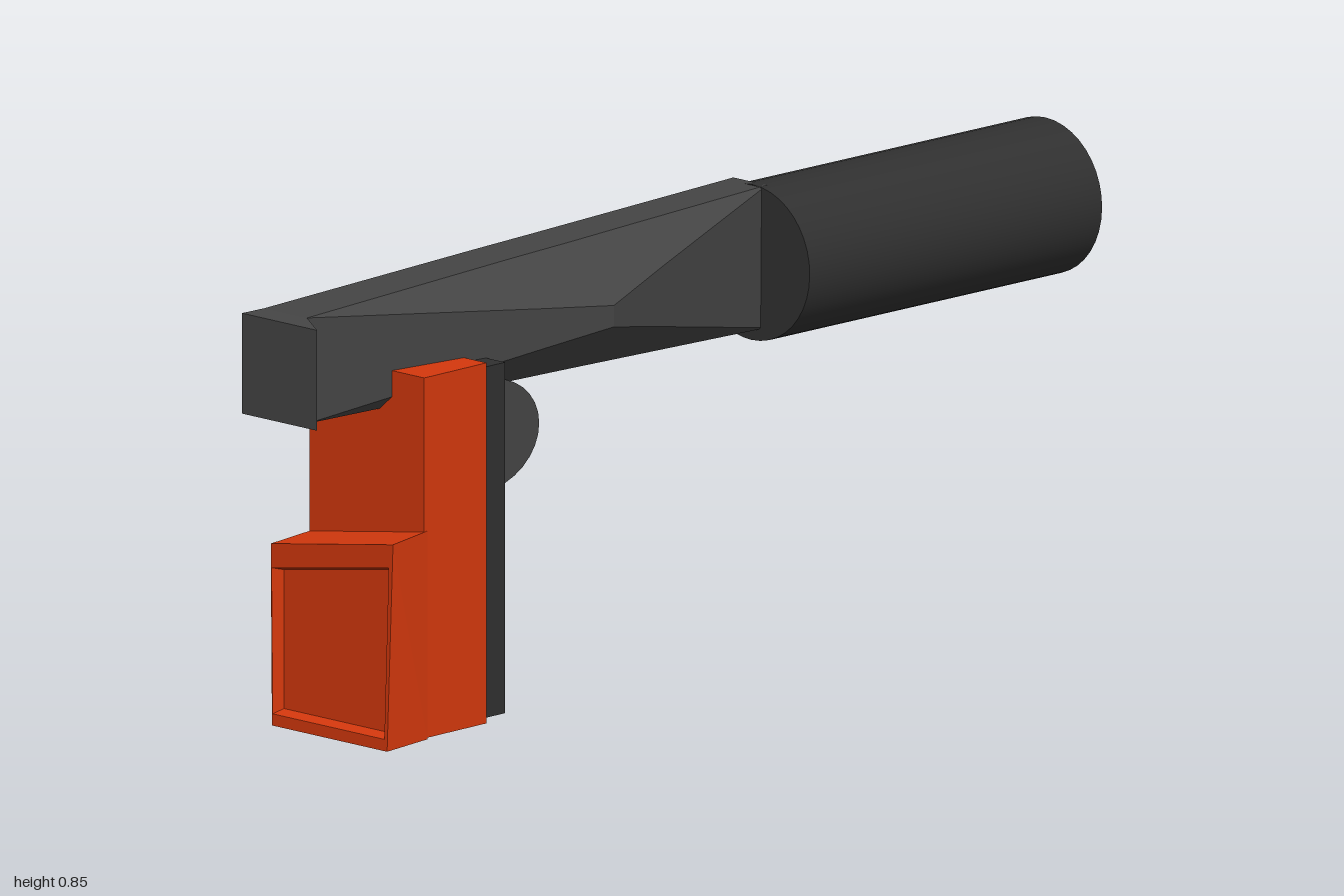
import * as THREE from 'three';

const steel = new THREE.MeshStandardMaterial({ color: 0x444444 });
steel.flatShading = true;
const rubber = new THREE.MeshStandardMaterial({ color: 0x303030 });
const orange = new THREE.MeshStandardMaterial({ color: 0xd4380d });
orange.flatShading = true;

// Skin rings of [x, y, z] points, counterclockwise seen from +z, ordered back to front
function loft(rings) {
  const n = rings[0].length;
  const pos = [];
  const tri = (a, b, c) => pos.push(...a, ...b, ...c);
  for (let i = 0; i < rings.length - 1; i++) {
    for (let j = 0; j < n; j++) {
      const k = (j + 1) % n;
      tri(rings[i][j], rings[i][k], rings[i + 1][k]);
      tri(rings[i][j], rings[i + 1][k], rings[i + 1][j]);
    }
  }
  const first = rings[0], last = rings[rings.length - 1];
  for (let j = 1; j < n - 1; j++) {
    tri(first[0], first[j + 1], first[j]);
    tri(last[0], last[j], last[j + 1]);
  }
  const g = new THREE.BufferGeometry();
  g.setAttribute('position', new THREE.Float32BufferAttribute(pos, 3));
  g.computeVertexNormals();
  return g;
}

export function createModel() {
  const model = new THREE.Group();
  const add = (name, geometry, material) => {
    const mesh = new THREE.Mesh(geometry, material);
    mesh.name = name;
    model.add(mesh);
    return mesh;
  };
  const box = (name, material, [x0, x1], [y0, y1], [z0, z1]) => {
    const mesh = add(name, new THREE.BoxGeometry(x1 - x0, y1 - y0, z1 - z0), material);
    mesh.position.set((x0 + x1) / 2, (y0 + y1) / 2, (z0 + z1) / 2);
  };

  // Round rear handle, tilted very slightly downwards to the back
  const from = new THREE.Vector3(-0.009, 0.692, -1);
  const to = new THREE.Vector3(-0.003, 0.701, -0.23);
  const handle = add('rearHandle',
    new THREE.CylinderGeometry(0.145, 0.145, from.distanceTo(to), 40), rubber);
  handle.position.copy(from).add(to).multiplyScalar(0.5);
  handle.quaternion.setFromUnitVectors(new THREE.Vector3(0, 1, 0), to.clone().sub(from).normalize());

  // Faceted shaft: flat top and bottom, sides bulging to an edge, flared square tip
  // [z, top/bottom x right, left, top y, bottom y, left side x, upper y, lower y, right side x, upper y, lower y]
  const sections = [
    [-0.25, 0.015, -0.07, 0.845, 0.578, -0.07, 0.845, 0.578, 0.015, 0.845, 0.578],
    [0.10, 0.018, -0.073, 0.835, 0.588, -0.148, 0.77, 0.65, 0.092, 0.768, 0.654],
    [0.27, 0.020, -0.075, 0.83, 0.593, -0.148, 0.77, 0.65, 0.132, 0.73, 0.69],
    [0.43, 0.021, -0.076, 0.826, 0.597, -0.148, 0.77, 0.65, 0.109, 0.748, 0.673],
    [0.965, 0.028, -0.08, 0.81, 0.612, -0.08, 0.81, 0.612, 0.028, 0.81, 0.612],
    [1, 0.088, -0.103, 0.803, 0.615, -0.103, 0.803, 0.615, 0.088, 0.803, 0.615],
  ];
  add('shaft', loft(sections.map(([z, r, l, t, b, lx, lu, ll, rx, ru, rl]) => [
    [r, t, z], [l, t, z], [lx, lu, z], [lx, ll, z],
    [l, b, z], [r, b, z], [rx, rl, z], [rx, ru, z],
  ])), steel);

  // Upright front grip with a dark backing plate
  box('gripBody', orange, [-0.152, 0.139], [0.008, 0.683], [0.61, 0.773]);
  box('gripBackPlate', rubber, [-0.153, 0.137], [0.018, 0.675], [0.56, 0.612]);

  // Lower front block with slanted top and a recessed front panel
  // [z, bottom left, bottom right, top right, top left]
  const blockRings = [
    [0.765, [-0.152, 0.005], [0.139, 0.005], [0.139, 0.395], [-0.152, 0.348]],
    [0.87, [-0.153, 0], [0.139, 0], [0.154, 0.39], [-0.156, 0.34]],
    [0.87, [-0.151, 0.022], [0.132, 0.022], [0.143, 0.345], [-0.154, 0.295]],
    [0.85, [-0.142, 0.03], [0.129, 0.03], [0.127, 0.336], [-0.142, 0.29]],
  ];
  add('frontBlock', loft(blockRings.map(([z, ...pts]) => pts.map(([x, y]) => [x, y, z]))), orange);

  // Thin oval trigger behind the grip
  const oval = new THREE.CylinderGeometry(1, 1, 0.055, 32);
  oval.rotateZ(Math.PI / 2);
  oval.scale(1, 0.105, 0.145);
  const trigger = add('trigger', oval, steel);
  trigger.position.set(0.007, 0.51, 0.51);

  return model;
}
